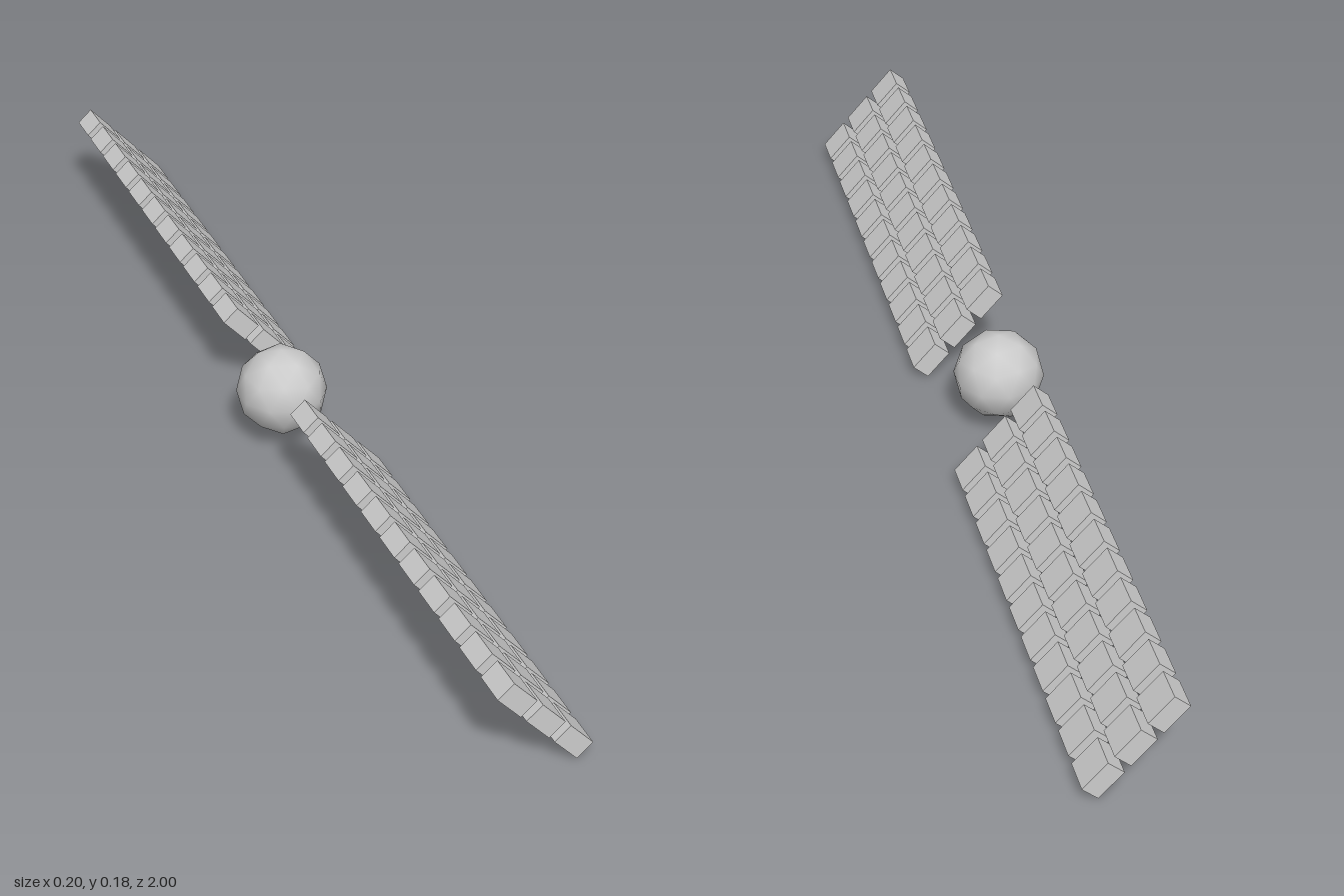
import * as THREE from 'three';

const TILT = -0.836;                    // tilt of the panel wings about z
const ROWS = 3, COLUMNS = 11;

export function createModel() {
  const model = new THREE.Group();
  model.name = 'satellite';
  const material = new THREE.MeshStandardMaterial({ color: 0xcccccc });

  // Central body: smooth-shaded icosphere with a vertex at its pole
  const body = new THREE.Mesh(new THREE.IcosahedronGeometry(0.081, 1), material);
  body.name = 'body';
  body.rotation.z = -Math.atan(2 / (1 + Math.sqrt(5)));
  body.position.set(-0.022, 0.102, 0);
  model.add(body);

  // Two tilted wings, each a grid of separate blocks
  const blockGeometry = new THREE.BoxGeometry(0.0605, 0.036, 0.0605);
  for (const side of [1, -1]) {
    const wing = new THREE.Group();
    wing.name = side > 0 ? 'frontWing' : 'backWing';
    wing.position.set(0.014, 0.0915, 0);
    wing.rotation.z = TILT;
    for (let row = 0; row < ROWS; row++) {
      for (let col = 0; col < COLUMNS; col++) {
        const block = new THREE.Mesh(blockGeometry, material);
        block.name = 'panelBlock';
        block.position.set((row - 1) * 0.075, 0, side * (0.1925 + col * 0.0777));
        wing.add(block);
      }
    }
    model.add(wing);
  }
  return model;
}
